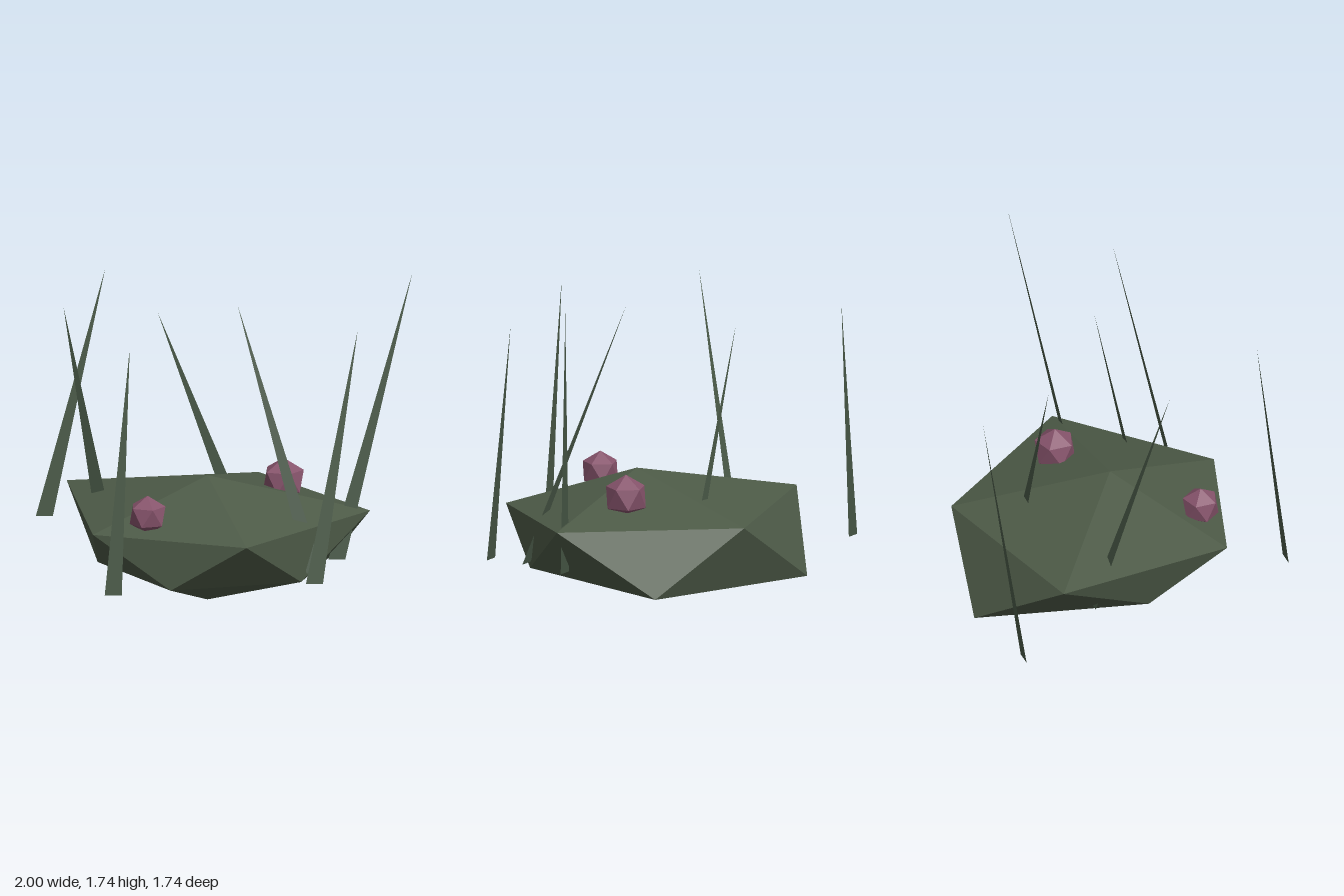
import * as THREE from 'three';

const rockMat = new THREE.MeshStandardMaterial({ color: 0x4d5a47, flatShading: true });
rockMat.name = 'mossy green';
const bladeMat = new THREE.MeshStandardMaterial({ color: 0x4a5a48, side: THREE.DoubleSide });
bladeMat.name = 'reed green';
const budMat = new THREE.MeshStandardMaterial({ color: 0x87546c, flatShading: true });
budMat.name = 'dusty pink';

function facetGeometry(corners) {
  const g = new THREE.BufferGeometry().setFromPoints(corners);
  g.computeVertexNormals();
  return g;
}

// Upright icosahedron with its own radius at every ring corner and pole.
// slope is the ring height per unit of ring radius.
function icosahedron(upper, lower, top, bottom, slope) {
  const ring = (radii, start, sign) => radii.map((r, i) => {
    const a = start + (i * Math.PI * 2) / 5;
    return new THREE.Vector3(r * Math.cos(a), sign * slope * r, r * Math.sin(a));
  });
  const U = ring(upper, 0, 1);
  const L = ring(lower, Math.PI / 5, -1);
  const T = new THREE.Vector3(0, top, 0);
  const B = new THREE.Vector3(0, -bottom, 0);
  const corners = [];
  for (let i = 0; i < 5; i++) {
    const j = (i + 1) % 5;
    corners.push(T, U[j], U[i], U[i], U[j], L[i], L[i], U[j], L[j], B, L[i], L[j]);
  }
  return facetGeometry(corners);
}

export function createModel() {
  const model = new THREE.Group();
  model.name = 'reedyRock';
  const add = (name, geometry, material, x = 0, y = 0, z = 0) => {
    const mesh = new THREE.Mesh(geometry, material);
    mesh.name = name;
    mesh.position.set(x, y, z);
    model.add(mesh);
  };

  // Squashed, uneven mound
  add('mound', icosahedron(
    [0.86, 0.705, 0.74, 0.93, 0.84],
    [0.62, 0.60, 0.58, 0.92, 0.85],
    0.362, 0.318, 0.2), rockMat, -0.08, 0.318, 0.06);

  // Faceted buds resting on the mound
  for (const [x, y, z, r] of [[0.32, 0.615, -0.1, 0.12], [-0.39, 0.565, 0.455, 0.106]]) {
    const ring = Array(5).fill(r * 0.894);
    add('bud', icosahedron(ring, ring, r, r, 0.5), budMat, x, y, z);
  }

  // Thin reed blades: base centre x, z, then tip x, y, z
  const blades = [
    [-0.955, -0.76, -0.635, 1.56, -0.87],
    [-0.615, -0.24, -0.84, 1.61, 0.11],
    [-0.565, 0.87, -0.48, 1.55, 0.74],
    [0.11, -0.39, -0.35, 1.45, -0.39],
    [0.495, 0.405, 0.08, 1.6, 0.03],
    [0.495, 0.62, 0.72, 1.56, 0.375],
    [0.605, 0.11, 1.0, 1.74, -0.115],
  ];
  for (const [x, z, tx, ty, tz] of blades) {
    add('reedBlade', facetGeometry([
      new THREE.Vector3(x - 0.045, 0.235, z),
      new THREE.Vector3(x + 0.045, 0.235, z),
      new THREE.Vector3(tx, ty, tz),
    ]), bladeMat);
  }
  return model;
}
